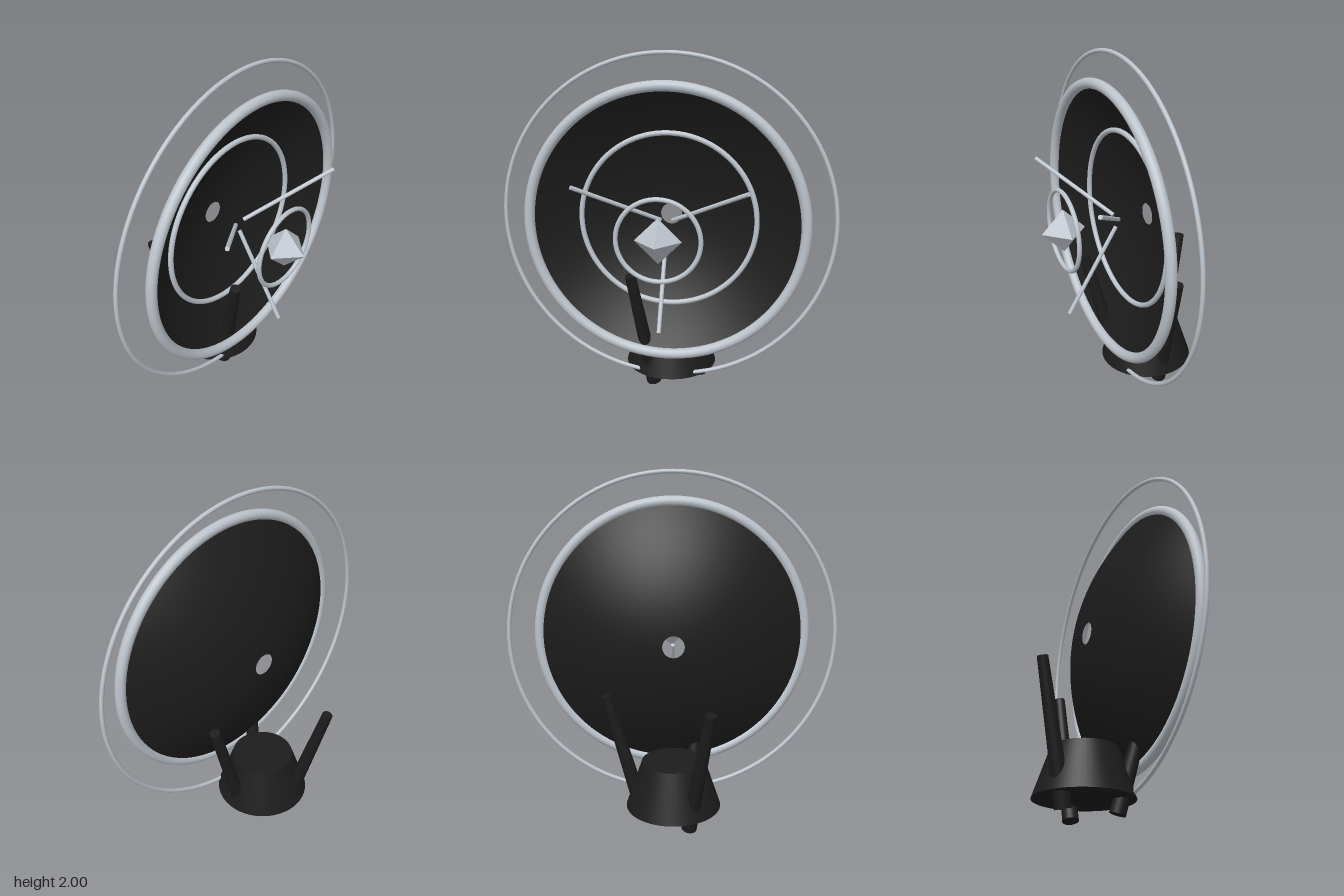
import * as THREE from 'three';

const CY = 1.043;      // height of the dish axis
const BASE_Z = -0.143; // centre of the pedestal

export function createModel() {
  const group = new THREE.Group();
  const black = new THREE.MeshStandardMaterial({ color: 0x1c1c1c });
  black.name = 'matte black';
  const blackShell = new THREE.MeshStandardMaterial({ color: 0x1c1c1c, side: THREE.DoubleSide });
  blackShell.name = 'matte black shell';
  const silver = new THREE.MeshStandardMaterial({ color: 0xbcc3cb });
  silver.name = 'silver';
  const facet = new THREE.MeshStandardMaterial({ color: 0xbcc3cb, flatShading: true });
  facet.name = 'faceted silver';

  function add(name, geometry, material, x = 0, y = 0, z = 0) {
    const mesh = new THREE.Mesh(geometry, material);
    mesh.name = name;
    mesh.position.set(x, y, z);
    group.add(mesh);
    return mesh;
  }

  // Tapered rod from a to b
  function rod(name, a, b, rA, rB, material) {
    const dir = b.clone().sub(a);
    const mesh = add(name, new THREE.CylinderGeometry(rB, rA, dir.length(), 20), material);
    mesh.position.copy(a).add(b).multiplyScalar(0.5);
    mesh.quaternion.setFromUnitVectors(new THREE.Vector3(0, 1, 0), dir.normalize());
  }

  // Parabolic dish with a small hole at its centre
  const profile = [];
  for (let i = 0; i <= 24; i++) {
    const r = 0.063 + (0.78 - 0.063) * i / 24;
    profile.push(new THREE.Vector2(r, -0.143 + 0.45 * r * r));
  }
  add('dish', new THREE.LatheGeometry(profile, 72).rotateX(Math.PI / 2), blackShell, 0, CY, 0);

  // Rings: name, radius, tube radius, z
  const rings = [
    ['dishRim', 0.78, 0.03, 0.133],
    ['outerRing', 0.946, 0.012, 0.058],
    ['innerRing', 0.507, 0.015, 0.005],
    ['feedRing', 0.228, 0.013, 0.379],
  ];
  for (const [name, radius, tube, z] of rings)
    add(name, new THREE.TorusGeometry(radius, tube, 16, 96), silver, 0, CY, z);

  // Faceted receiver in front of the dish
  add('receiver', new THREE.OctahedronGeometry(0.128), facet, 0, CY, 0.379);

  // Three struts fanning out from the dish axis
  for (let i = 0; i < 3; i++) {
    const a = Math.PI / 6 + i * Math.PI * 2 / 3;
    const at = (r, z) => new THREE.Vector3(r * Math.cos(a), CY + r * Math.sin(a), z);
    rod('strut', at(0.04, 0.06), at(0.54, 0.362), 0.012, 0.012, silver);
  }

  // Pedestal
  add('pedestal', new THREE.CylinderGeometry(0.182, 0.275, 0.275, 48), black, 0, 0.2275, BASE_Z);

  // Three legs leaning outwards through the pedestal
  for (let i = 0; i < 3; i++) {
    const a = i * Math.PI * 2 / 3;
    const at = (r, y) => new THREE.Vector3(r * Math.cos(a), y, BASE_Z + r * Math.sin(a));
    rod('leg', at(0.172, 0.012), at(0.38, 0.763), 0.045, 0.03, black);
  }
  return group;
}
